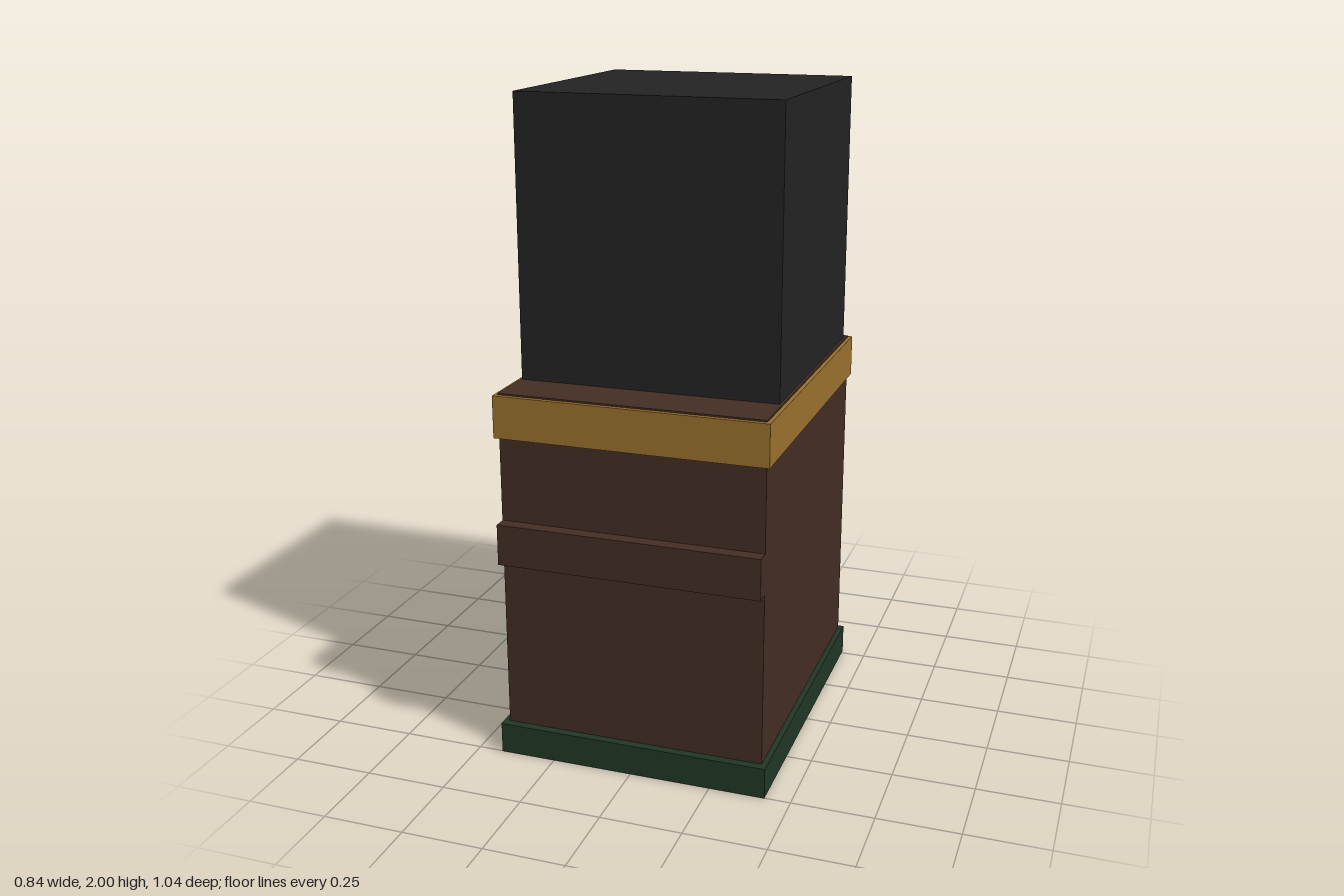
import * as THREE from 'three';

const material = (name, color) => {
  const m = new THREE.MeshStandardMaterial({ color });
  m.name = name;
  return m;
};

export function createModel() {
  const group = new THREE.Group();
  const brown = material('dark brown', 0x432d24);
  const gold = material('gold', 0x98702c);
  const green = material('dark green', 0x203624);
  const black = material('black', 0x232323);

  // Box given by its extents along each axis
  const addBox = (name, mat, [x0, x1], [y0, y1], [z0, z1]) => {
    const mesh = new THREE.Mesh(new THREE.BoxGeometry(x1 - x0, y1 - y0, z1 - z0), mat);
    mesh.name = name;
    mesh.position.set((x0 + x1) / 2, (y0 + y1) / 2, (z0 + z1) / 2);
    group.add(mesh);
  };

  // Plinth and cabinet
  addBox('base', green, [-0.423, 0.421], [0, 0.096], [-0.516, 0.502]);
  addBox('body', brown, [-0.406, 0.404], [0.09, 1.155], [-0.506, 0.476]);
  addBox('frontLedge', brown, [-0.405, 0.404], [0.635, 0.762], [0.47, 0.518]);

  // Trim around the top edge, with the block standing towards the back
  addBox('trim', gold, [-0.418, 0.416], [1.021, 1.15], [-0.518, 0.49]);
  addBox('topBlock', black, [-0.4, 0.396], [1.15, 2], [-0.474, 0.32]);

  return group;
}
